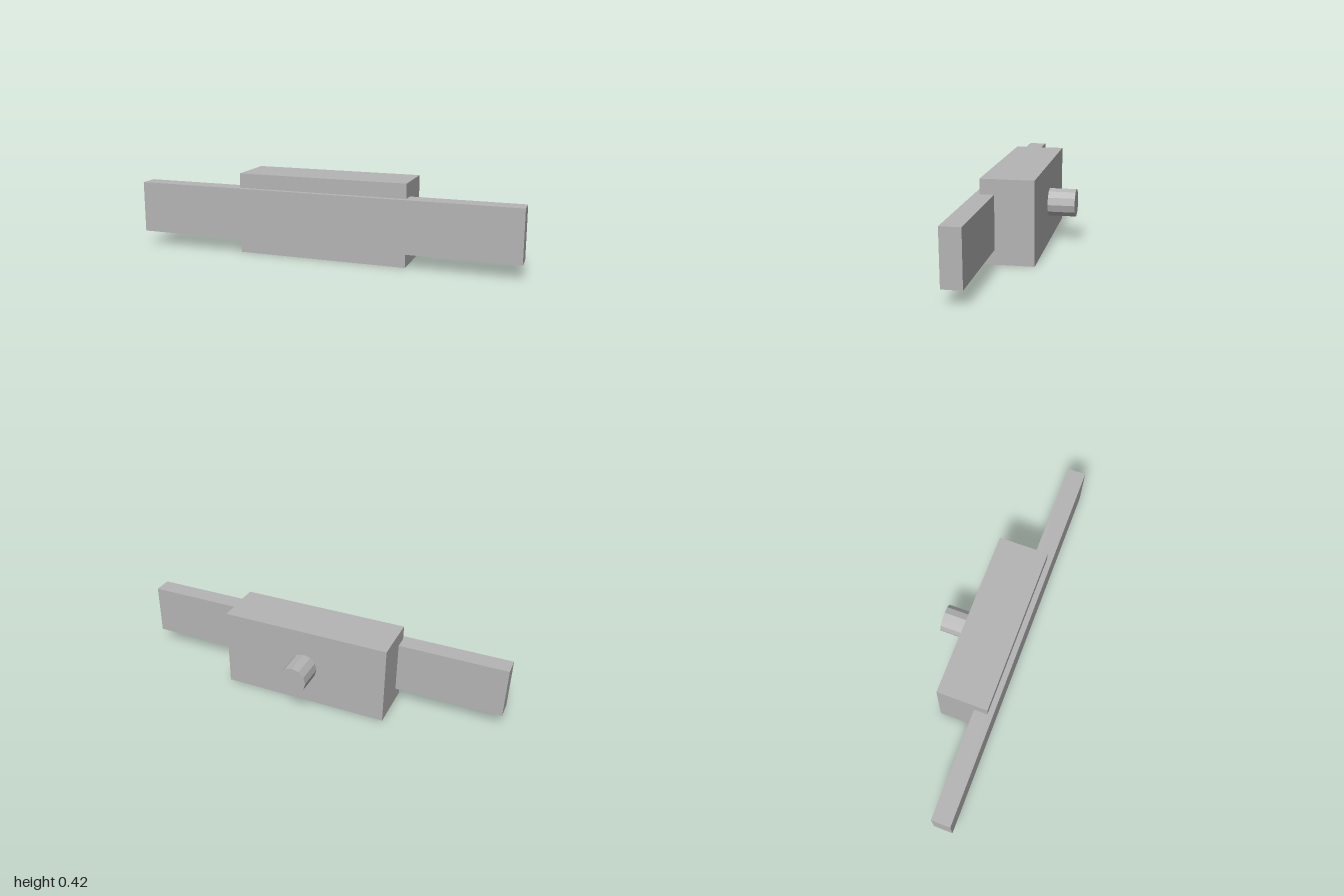
import * as THREE from 'three';

export function createModel() {
  const model = new THREE.Group();
  const grey = new THREE.MeshStandardMaterial({ color: 0xb4b4b4, flatShading: true });
  grey.name = 'plain grey';

  function add(name, geometry, x, y, z) {
    const mesh = new THREE.Mesh(geometry, grey);
    mesh.name = name;
    mesh.position.set(x, y, z);
    model.add(mesh);
  }

  // Central block, with the long bar let into its front face
  add('body', new THREE.BoxGeometry(0.88, 0.416, 0.261), 0, 0.208, 0.0555);
  add('crossBar', new THREE.BoxGeometry(2, 0.267, 0.097), 0, 0.208, 0.1655);

  // Twelve-sided peg at the back, sunk slightly into the block
  const peg = new THREE.CylinderGeometry(0.073, 0.073, 0.159, 12).rotateX(Math.PI / 2);
  add('rearPeg', peg, 0, 0.209, -0.1345);

  return model;
}
